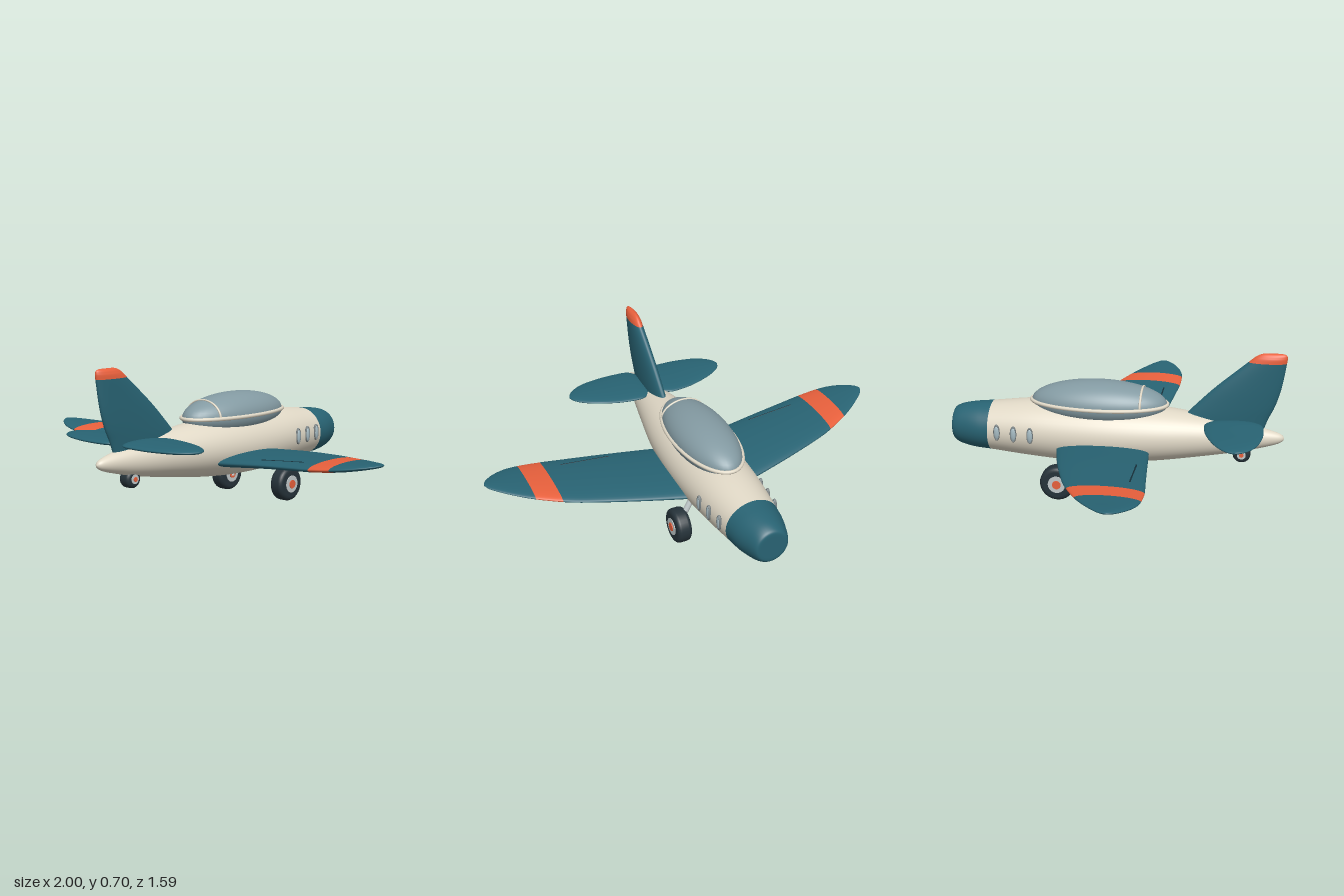
import * as THREE from 'three';

const mat = (color, side = THREE.FrontSide) => new THREE.MeshStandardMaterial({ color, side });
const cream = mat(0xe0d8c6), teal = mat(0x286373), orange = mat(0xe8603c), tyreMat = mat(0x26333a),
  metal = mat(0xc2cacb), glass = mat(0x839aa2), pane = mat(0xa5bac2), dark = mat(0x16303a), rimMat = mat(0x7d8587);

function add(parent, name, geometry, material, pos = [0, 0, 0]) {
  const m = new THREE.Mesh(geometry, material);
  m.name = name;
  m.position.set(...pos);
  parent.add(m);
  return m;
}

// Smooth value between table rows (Catmull-Rom on every column)
function sample(rows, i, t) {
  const at = k => rows[Math.min(Math.max(k, 0), rows.length - 1)];
  const [p, q, r, s] = [at(i - 1), at(i), at(i + 1), at(i + 2)];
  return q.map((_, k) => q[k] + 0.5 * t * (r[k] - p[k] +
    t * (2 * p[k] - 5 * q[k] + 4 * r[k] - s[k] + t * (3 * (q[k] - r[k]) + s[k] - p[k]))));
}

// Elliptical skin through rows[from..to]; place(row) gives centre and two half axes
function loft(rows, place, from = 0, to = rows.length - 1, steps = 5, sides = 40) {
  const pos = [], index = [], sections = [];
  for (let i = from; i < to; i++)
    for (let s = 0; s < steps; s++) sections.push(place(sample(rows, i, s / steps)));
  sections.push(place(rows[to]));
  const ring = ([c, a, b]) => {
    for (let j = 0; j < sides; j++) {
      const u = Math.cos(j / sides * 2 * Math.PI), v = Math.sin(j / sides * 2 * Math.PI);
      for (let k = 0; k < 3; k++) pos.push(c[k] + a[k] * u + b[k] * v);
    }
  };
  sections.forEach((sec, i) => {
    ring(sec);
    if (i === 0) return;
    for (let j = 0; j < sides; j++) {
      const n = (j + 1) % sides, p = (i - 1) * sides, q = i * sides;
      index.push(p + j, p + n, q + j, p + n, q + n, q + j);
    }
  });
  // end caps with their own vertices
  [sections[0], sections[sections.length - 1]].forEach((sec, e) => {
    const base = pos.length / 3;
    ring(sec);
    pos.push(...sec[0]);
    for (let j = 0; j < sides; j++) {
      const n = (j + 1) % sides;
      index.push(base + sides, base + (e ? j : n), base + (e ? n : j));
    }
  });
  const g = new THREE.BufferGeometry();
  g.setAttribute('position', new THREE.Float32BufferAttribute(pos, 3));
  g.setIndex(index);
  g.computeVertexNormals();
  return g;
}

// Body rows: z, bottom, top, half width
const bodyRows = [
  [-0.795, 0.225, 0.34, 0.06], [-0.792, 0.208, 0.36, 0.075], [-0.775, 0.193, 0.373, 0.087],
  [-0.74, 0.18, 0.385, 0.1], [-0.68, 0.17, 0.395, 0.118], [-0.605, 0.165, 0.402, 0.13],
  [-0.4, 0.147, 0.425, 0.155], [-0.2, 0.136, 0.432, 0.167], [0, 0.14, 0.43, 0.165],
  [0.2, 0.158, 0.417, 0.145], [0.4, 0.187, 0.393, 0.107], [0.58, 0.218, 0.362, 0.069],
  [0.7, 0.247, 0.338, 0.042], [0.76, 0.265, 0.322, 0.026], [0.785, 0.278, 0.31, 0.015], [0.795, 0.291, 0.297, 0.003]];
const bodyPlace = ([z, lo, hi, w]) => [[0, (lo + hi) / 2, z], [w, 0, 0], [0, (hi - lo) / 2, 0]];

// Wing rows: x, leading z, trailing z, half thickness, height
const wingRows = [
  [0.08, -0.275, 0.165, 0.036, 0.228], [0.17, -0.26, 0.178, 0.034, 0.236], [0.4, -0.207, 0.2, 0.03, 0.26],
  [0.6, -0.148, 0.22, 0.026, 0.277], [0.7, -0.108, 0.23, 0.024, 0.285], [0.81, -0.052, 0.23, 0.02, 0.297],
  [0.88, -0.008, 0.217, 0.016, 0.306], [0.94, 0.037, 0.187, 0.012, 0.315], [0.98, 0.073, 0.153, 0.008, 0.321],
  [0.995, 0.095, 0.13, 0.005, 0.324], [1, 0.108, 0.116, 0.002, 0.325]];
// Tailplane rows: same columns
const tailRows = [
  [0.015, 0.49, 0.64, 0.01, 0.37], [0.035, 0.455, 0.675, 0.014, 0.37], [0.06, 0.434, 0.694, 0.017, 0.37],
  [0.1, 0.425, 0.7, 0.018, 0.37], [0.2, 0.44, 0.7, 0.017, 0.37], [0.3, 0.477, 0.682, 0.015, 0.371],
  [0.36, 0.512, 0.654, 0.012, 0.371], [0.395, 0.545, 0.622, 0.008, 0.371], [0.41, 0.577, 0.59, 0.003, 0.371]];
const wingPlace = ([x, lead, trail, h, y]) => [[x, y, (lead + trail) / 2], [0, h, 0], [0, 0, (trail - lead) / 2]];

// Fin rows: y, leading z, trailing z, half thickness
const finRows = [
  [0.34, 0.29, 0.7, 0.033], [0.39, 0.33, 0.718, 0.035], [0.45, 0.385, 0.745, 0.035], [0.54, 0.475, 0.771, 0.033],
  [0.662, 0.615, 0.79, 0.027], [0.69, 0.648, 0.792, 0.021], [0.702, 0.67, 0.786, 0.013], [0.707, 0.69, 0.77, 0.004]];
const finPlace = ([y, lead, trail, h]) => [[0, y, (lead + trail) / 2], [0, 0, (trail - lead) / 2], [h, 0, 0]];

// Wheel with rounded tyre and stepped hub, axle along x
function wheel(name, r, w) {
  const g = new THREE.Group();
  g.name = name;
  const c = w * 0.28, h = w / 2, pts = [new THREE.Vector2(0, -h), new THREE.Vector2(r - c, -h)];
  for (const s of [-1, 1])
    for (let k = 0; k <= 5; k++) {
      const a = s < 0 ? -Math.PI / 2 + k * Math.PI / 10 : k * Math.PI / 10;
      pts.push(new THREE.Vector2(r - c + c * Math.cos(a), s * (h - c) + c * Math.sin(a)));
    }
  pts.push(new THREE.Vector2(0, h));
  add(g, 'tyre', new THREE.LatheGeometry(pts, 36), tyreMat);
  add(g, 'hub', new THREE.CylinderGeometry(r * 0.5, r * 0.5, w + 0.006, 28), metal);
  add(g, 'hubCap', new THREE.CylinderGeometry(r * 0.25, r * 0.25, w + 0.014, 20), orange);
  g.rotation.z = Math.PI / 2;
  return g;
}

// Round bar between two points
function bar(parent, name, a, b, r, material) {
  const from = new THREE.Vector3(...a), dir = new THREE.Vector3(...b).sub(from);
  const m = add(parent, name, new THREE.CylinderGeometry(r, r, dir.length(), 14), material);
  m.position.copy(from).addScaledVector(dir, 0.5);
  m.quaternion.setFromUnitVectors(new THREE.Vector3(0, 1, 0), dir.normalize());
}

// Everything on one side of the aircraft
function buildSide(name) {
  const g = new THREE.Group();
  g.name = name;
  add(g, 'wingInner', loft(wingRows, wingPlace, 0, 4), teal);
  add(g, 'wingStripe', loft(wingRows, wingPlace, 4, 5), orange);
  add(g, 'wingTip', loft(wingRows, wingPlace, 5), teal);
  add(g, 'tailplane', loft(tailRows, wingPlace), teal);
  // aileron gap on the upper wing skin
  bar(g, 'aileronGap', [0.38, 0.276, 0.15], [0.62, 0.2965, 0.154], 0.004, dark);
  // oval side windows
  [[-0.39, 0.156], [-0.472, 0.148], [-0.555, 0.138]].forEach(([z, x]) => {
    const w = new THREE.Group();
    w.name = 'sideWindow';
    w.position.set(x, 0.295, z);
    add(w, 'pane', new THREE.SphereGeometry(1, 20, 14), pane).scale.set(0.01, 0.036, 0.014);
    const rim = add(w, 'rim', new THREE.TorusGeometry(1, 0.13, 8, 28).rotateY(Math.PI / 2), rimMat);
    rim.scale.set(0.05, 0.036, 0.014);
    g.add(w);
  });
  // main landing gear
  const main = wheel('mainWheel', 0.083, 0.072);
  main.position.set(0.193, 0.086, -0.25);
  g.add(main);
  bar(g, 'gearLeg', [0.115, 0.24, -0.25], [0.172, 0.13, -0.25], 0.014, metal);
  bar(g, 'gearAxle', [0.172, 0.135, -0.25], [0.158, 0.075, -0.25], 0.014, metal);
  return g;
}

export function createModel() {
  const model = new THREE.Group();
  model.name = 'aircraft';
  add(model, 'noseCowl', loft(bodyRows, bodyPlace, 0, 5, 5, 48), teal);
  add(model, 'fuselage', loft(bodyRows, bodyPlace, 5, bodyRows.length - 1, 5, 48), cream);
  add(model, 'fin', loft(finRows, finPlace, 0, 4), teal);
  add(model, 'finTip', loft(finRows, finPlace, 4), orange);

  // canopy with sill and rear hoop
  const canopy = new THREE.Group();
  canopy.name = 'canopy';
  canopy.position.set(0, 0.43, -0.083);
  add(canopy, 'canopyGlass', new THREE.SphereGeometry(1, 48, 32), glass).scale.set(0.14, 0.105, 0.325);
  const oval = new THREE.CatmullRomCurve3(Array.from({ length: 32 }, (_, i) => {
    const a = i / 16 * Math.PI;
    return new THREE.Vector3(0.142 * Math.cos(a), 0.002, 0.327 * Math.sin(a));
  }), true);
  add(canopy, 'canopySill', new THREE.TubeGeometry(oval, 80, 0.009, 10, true), cream);
  const hoop = add(canopy, 'canopyHoop', new THREE.TorusGeometry(1, 0.05, 8, 32, Math.PI), cream, [0, 0, 0.208]);
  hoop.scale.set(0.109, 0.082, 0.109);
  model.add(canopy);

  // tail wheel
  const tailWheel = wheel('tailWheel', 0.042, 0.062);
  tailWheel.position.set(0, 0.21, 0.6);
  model.add(tailWheel);
  bar(model, 'tailWheelLeg', [0, 0.29, 0.57], [0, 0.21, 0.6], 0.01, metal);

  const left = buildSide('leftSide'), right = buildSide('rightSide');
  right.scale.x = -1;
  model.add(left, right);
  return model;
}
